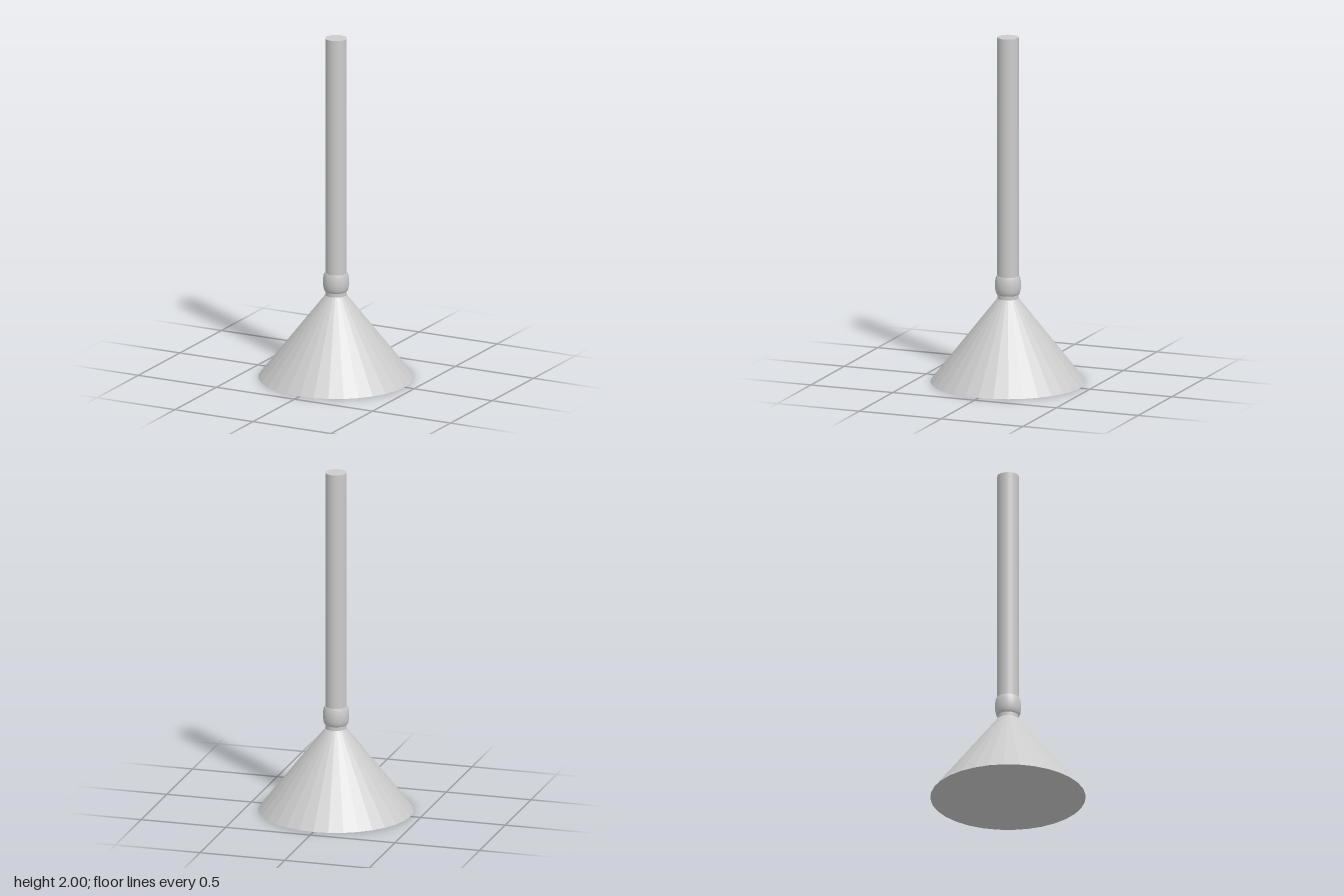
import * as THREE from 'three';

const SIDES = 32;

export function createModel() {
  const group = new THREE.Group();
  const smooth = new THREE.MeshStandardMaterial({ color: 0xcccccc });
  const faceted = new THREE.MeshStandardMaterial({ color: 0xcccccc, flatShading: true });

  const add = (name, geometry, material) => {
    const mesh = new THREE.Mesh(geometry, material);
    mesh.name = name;
    group.add(mesh);
  };
  // Upright capped cylinder or cone between two heights
  const column = (rTop, rBottom, y0, y1) =>
    new THREE.CylinderGeometry(rTop, rBottom, y1 - y0, SIDES).translate(0, (y0 + y1) / 2, 0);

  // Wide faceted cone that the model stands on
  add('coneBase', column(0.06, 0.44, 0, 0.485), faceted);

  // Short neck between cone and collar
  add('neck', column(0.06, 0.06, 0.485, 0.515), smooth);

  // Bulging collar with a narrow flat rim on top
  const bulge = [
    [0.06, 0.507], [0.066, 0.512], [0.071, 0.528], [0.074, 0.55],
    [0.074, 0.575], [0.071, 0.6], [0.066, 0.615],
  ].map(([r, y]) => new THREE.Vector2(r, y));
  add('collar', new THREE.LatheGeometry(bulge, SIDES), smooth);
  const rim = new THREE.RingGeometry(0.055, 0.066, SIDES);
  add('collarRim', rim.rotateX(-Math.PI / 2).translate(0, 0.615, 0), smooth);

  // Long straight stem
  add('stem', column(0.061, 0.061, 0.55, 2), smooth);

  return group;
}
